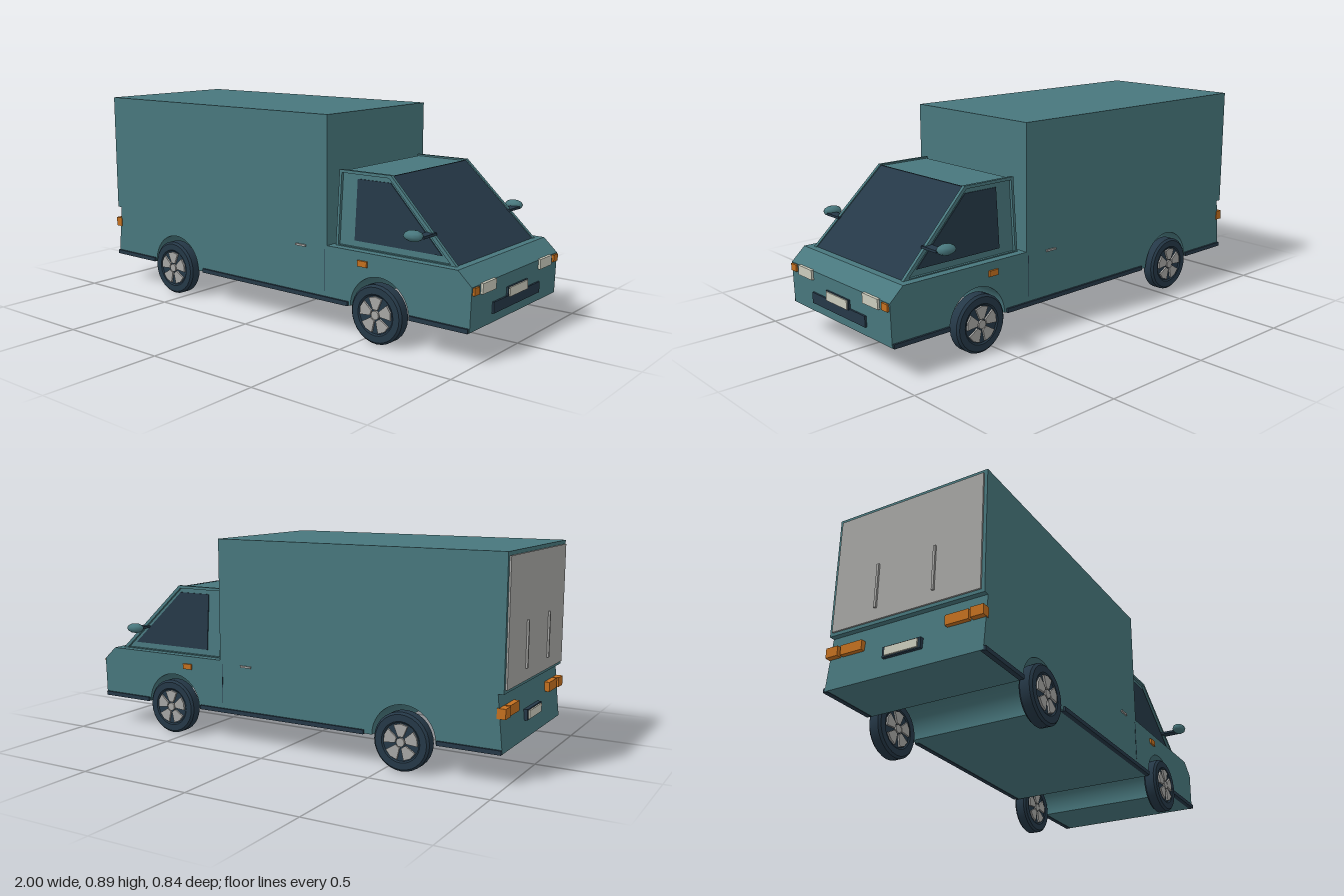
import * as THREE from 'three';
import { toCreasedNormals } from 'three/addons/utils/BufferGeometryUtils.js';

const mat = (name, color) => {
  const m = new THREE.MeshStandardMaterial({ color });
  m.name = name;
  return m;
};

export function createModel() {
  const paint = mat('teal paint', 0x48777d);
  const dark = mat('dark glass and rubber', 0x253847);
  const silver = mat('silver', 0xa6a6a4);
  const cream = mat('cream lamp', 0xcbccbd);
  const orange = mat('orange lamp', 0xc4701f);

  const truck = new THREE.Group();
  truck.name = 'boxTruck';

  const add = (name, geometry, material, parent = truck) => {
    const mesh = new THREE.Mesh(geometry, material);
    mesh.name = name;
    parent.add(mesh);
    return mesh;
  };
  // Box given by its minimum and maximum on each axis
  const block = (name, material, [x0, x1], [y0, y1], [z0, z1]) => {
    const mesh = add(name, new THREE.BoxGeometry(x1 - x0, y1 - y0, z1 - z0), material);
    mesh.position.set((x0 + x1) / 2, (y0 + y1) / 2, (z0 + z1) / 2);
    return mesh;
  };
  // The same box on both sides of the truck
  const pair = (name, material, x, y, [z0, z1]) => {
    block(name + 'Left', material, x, y, [z0, z1]);
    block(name + 'Right', material, x, y, [-z1, -z0]);
  };
  const shapeOf = (pts) => new THREE.Shape(pts.map(([x, y]) => new THREE.Vector2(x, y)));
  const extrude = (shape, z0, z1) => {
    const g = new THREE.ExtrudeGeometry(shape, { depth: z1 - z0, bevelEnabled: false, curveSegments: 20 });
    return g.translate(0, 0, z0);
  };
  // Cab sides lean inwards with height
  const lean = (g) => {
    const p = g.attributes.position;
    for (let i = 0; i < p.count; i++) {
      p.setZ(i, p.getZ(i) - Math.sign(p.getZ(i)) * (p.getY(i) - 0.355) * 0.075);
    }
    g.computeVertexNormals();
    return g;
  };

  // Lower body with wheel arches running right through
  const axleX = 0.575, archR = 0.14;
  const body = new THREE.Shape();
  body.moveTo(-0.985, 0.127);
  for (const x of [-axleX, axleX]) {
    body.lineTo(x - archR, 0.127);
    body.absarc(x, 0.127, archR, Math.PI, 0, true);
  }
  body.lineTo(0.982, 0.127);
  body.lineTo(0.987, 0.3);
  body.lineTo(0.926, 0.356);
  body.lineTo(-0.962, 0.356);
  add('lowerBody', toCreasedNormals(extrude(body, -0.347, 0.347), 0.5), paint);

  // Cargo box and rear door
  block('cargoBox', paint, [-0.985, 0.315], [0.356, 0.886], [-0.347, 0.347]);
  block('rearDoor', silver, [-0.992, -0.984], [0.37, 0.87], [-0.333, 0.333]);
  pair('rearDoorBar', silver, [-1, -0.991], [0.42, 0.61], [0.125, 0.135]);

  // Cab
  const cabPts = [[0.34, 0.35], [0.895, 0.35], [0.576, 0.656], [0.34, 0.656]];
  add('cab', lean(extrude(shapeOf(cabPts), -0.3, 0.3)), paint);
  const screen = shapeOf([[0.889, 0.355], [0.896, 0.355], [0.581, 0.658], [0.574, 0.658]]);
  add('windscreen', lean(extrude(screen, -0.299, 0.299)), dark);

  // Raised side frames and side windows
  const frame = shapeOf([[0.333, 0.354], [0.902, 0.354], [0.583, 0.663], [0.333, 0.663]]);
  frame.holes.push(new THREE.Path(
    [[0.345, 0.36], [0.345, 0.651], [0.575, 0.651], [0.875, 0.36]].map(([x, y]) => new THREE.Vector2(x, y))));
  const glass = shapeOf([[0.42, 0.385], [0.83, 0.385], [0.578, 0.632], [0.42, 0.632]]);
  for (const [side, s] of [['Left', 1], ['Right', -1]]) {
    const slab = (shape, a, b) => lean(extrude(shape, Math.min(a * s, b * s), Math.max(a * s, b * s)));
    add('cabFrame' + side, slab(frame, 0.297, 0.312), paint);
    add('sideWindow' + side, slab(glass, 0.297, 0.304), dark);

    // Mirror
    const mirror = add('mirror' + side, new THREE.SphereGeometry(1, 10, 6), paint);
    mirror.scale.set(0.042, 0.022, 0.03);
    mirror.position.set(0.758, 0.468, 0.39 * s);
  }
  pair('mirrorArm', dark, [0.755, 0.795], [0.457, 0.467], [0.285, 0.375]);

  // Side trim
  for (const x of [[-0.983, -0.72], [-0.4, 0.425], [0.72, 0.978]]) {
    pair('sill', dark, x, [0.125, 0.143], [0.335, 0.356]);
  }
  pair('doorSeam', dark, [0.303, 0.306], [0.165, 0.34], [0.344, 0.348]);
  pair('doorHandle', silver, [0.152, 0.205], [0.336, 0.344], [0.345, 0.354]);
  pair('sideIndicator', orange, [0.472, 0.518], [0.298, 0.322], [0.345, 0.355]);

  // Front fittings
  pair('headlight', cream, [0.975, 0.996], [0.262, 0.303], [0.18, 0.281]);
  pair('frontIndicator', orange, [0.975, 0.995], [0.268, 0.297], [0.303, 0.34]);
  block('frontGrille', dark, [0.975, 0.992], [0.165, 0.21], [-0.187, 0.187]);
  block('frontPlateHolder', dark, [0.975, 0.993], [0.205, 0.245], [-0.08, 0.08]);
  block('frontPlate', cream, [0.985, 0.998], [0.206, 0.243], [-0.073, 0.073]);

  // Rear fittings
  pair('rearLamp', orange, [-0.99, -0.96], [0.262, 0.303], [0.185, 0.285]);
  pair('rearIndicator', orange, [-0.995, -0.96], [0.262, 0.303], [0.295, 0.35]);
  block('rearPlateHolder', dark, [-0.99, -0.965], [0.2, 0.244], [-0.085, 0.085]);
  block('rearPlate', cream, [-0.996, -0.985], [0.205, 0.239], [-0.073, 0.073]);

  // Wheels: tyre with a recessed face, five flared spokes and a hub on each face
  const tyreProfile = [[0, -0.024], [0.078, -0.024], [0.084, -0.029], [0.112, -0.029], [0.121, -0.02],
    [0.121, 0.02], [0.112, 0.029], [0.084, 0.029], [0.078, 0.024], [0, 0.024]];
  const tyre = toCreasedNormals(new THREE.LatheGeometry(
    tyreProfile.map(([x, y]) => new THREE.Vector2(x, y)), 28).rotateX(Math.PI / 2), 0.5);
  const spoke = extrude(shapeOf([[-0.011, 0.022], [0.011, 0.022], [0.03, 0.067], [0, 0.075], [-0.03, 0.067]]), -0.032, 0.032);
  const hub = new THREE.CylinderGeometry(0.018, 0.018, 0.066, 12).rotateX(Math.PI / 2);
  for (const [end, x] of [['front', axleX], ['rear', -axleX]]) {
    for (const [side, s] of [['Left', 1], ['Right', -1]]) {
      const wheel = new THREE.Group();
      wheel.name = end + 'Wheel' + side;
      wheel.position.set(x, 0.121, 0.342 * s);
      add('tyre', tyre, dark, wheel);
      add('hub', hub, silver, wheel);
      for (let i = 0; i < 5; i++) add('spoke', spoke, silver, wheel).rotation.z = (i * 2 * Math.PI) / 5;
      truck.add(wheel);
    }
  }
  return truck;
}
